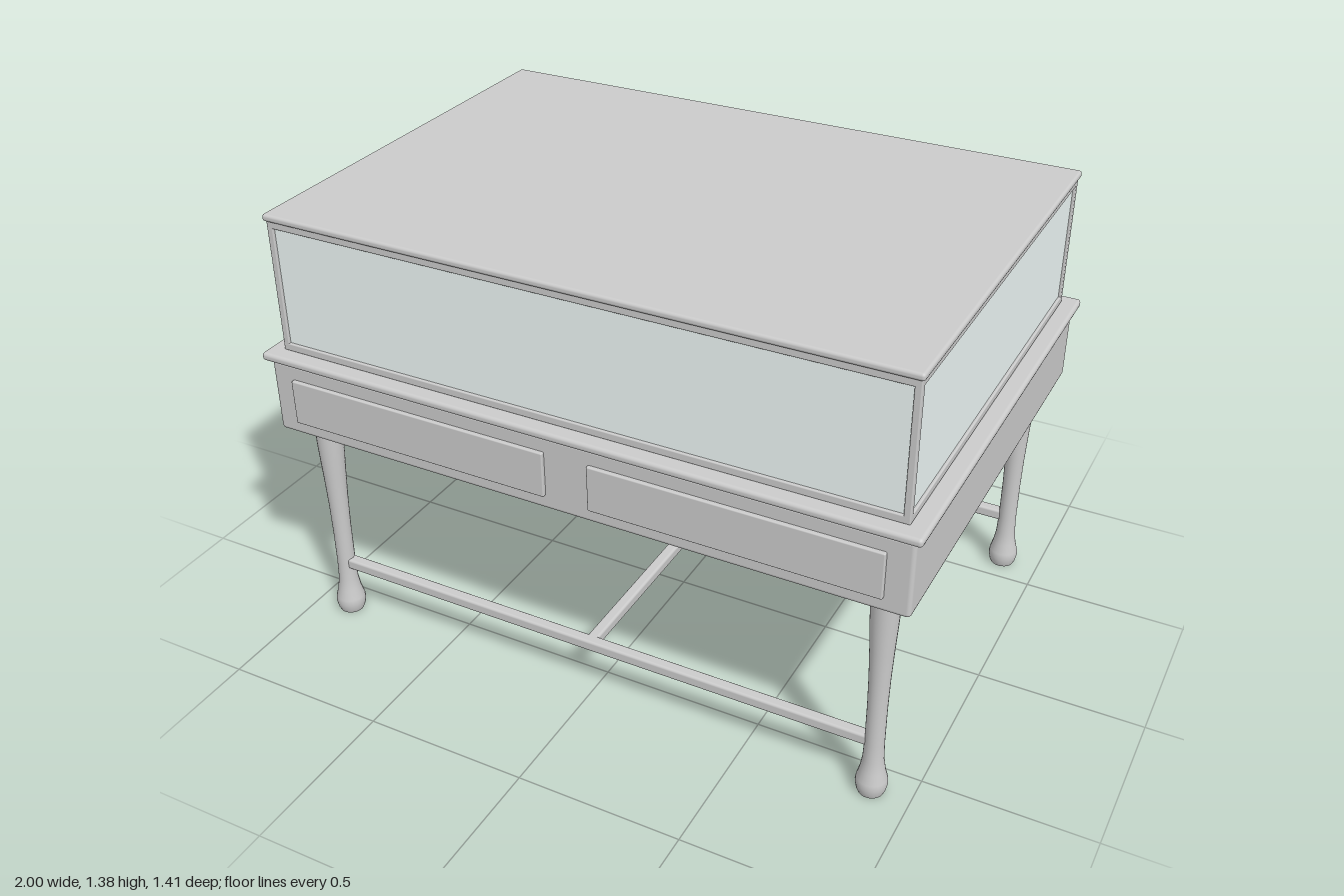
import * as THREE from 'three';
import { RoundedBoxGeometry } from 'three/addons/geometries/RoundedBoxGeometry.js';

export function createModel() {
  const model = new THREE.Group();
  const wood = new THREE.MeshStandardMaterial({ color: 0xcccccc });
  const glass = new THREE.MeshStandardMaterial({ color: 0xeef8f6 });

  const add = (name, geometry, x, y, z, material = wood) => {
    const mesh = new THREE.Mesh(geometry, material);
    mesh.name = name;
    mesh.position.set(x, y, z);
    model.add(mesh);
    return mesh;
  };
  // Box with softened edges, placed by its bottom height
  const slab = (name, w, h, d, x, y, z, r) =>
    add(name, new RoundedBoxGeometry(w, h, d, 2, r), x, y + h / 2, z);

  // Table body, ledge and lid
  slab('tableBody', 1.96, 0.232, 1.37, 0, 0.693, 0, 0.012);
  slab('tableTop', 2, 0.026, 1.406, 0, 0.925, 0, 0.011);
  slab('caseLid', 1.916, 0.022, 1.332, 0, 1.355, 0, 0.009);

  // Raised drawer fronts, two on each long side
  for (const z of [-1, 1]) {
    for (const x of [-1, 1]) {
      slab('drawerFront', 0.84, 0.14, 0.03, x * 0.488, 0.737, z * 0.682, 0.004);
    }
  }

  // Turned legs
  const profile = [
    [0, 0], [0.037, 0], [0.042, 0.012], [0.046, 0.032], [0.044, 0.05], [0.036, 0.08],
    [0.03, 0.12], [0.028, 0.18], [0.028, 0.3], [0.03, 0.4], [0.034, 0.5],
    [0.039, 0.6], [0.042, 0.7],
  ].map(([r, y]) => new THREE.Vector2(r, y));
  // A doubled corner keeps the sole flat and crisp
  profile.splice(1, 0, new THREE.Vector2(0.0365, 0));
  const legGeometry = new THREE.LatheGeometry(profile, 24);
  for (const x of [-1, 1]) {
    for (const z of [-1, 1]) add('leg', legGeometry, x * 0.885, 0, z * 0.592);
  }

  // Stretchers: two lengthwise, one joining their middles
  for (const z of [-1, 1]) {
    slab('longStretcher', 1.74, 0.035, 0.035, 0, 0.164, z * 0.592, 0.008);
  }
  slab('crossStretcher', 0.035, 0.035, 1.184, 0, 0.164, 0, 0.008);

  // Display case frame
  const halfX = 0.951, halfZ = 0.657, bar = 0.02;
  const bottom = 0.951, top = 1.357;
  for (const x of [-1, 1]) {
    for (const z of [-1, 1]) {
      slab('casePost', bar, top - bottom, bar,
        x * (halfX - bar / 2), bottom, z * (halfZ - bar / 2), 0.004);
    }
  }
  for (const y of [bottom, top - 0.024]) {
    for (const s of [-1, 1]) {
      slab('longRail', 2 * halfX, 0.024, bar, 0, y, s * (halfZ - bar / 2), 0.004);
      slab('shortRail', bar, 0.024, 2 * halfZ, s * (halfX - bar / 2), y, 0, 0.004);
    }
  }

  // Glass panes set back within the frame
  const midY = (bottom + top) / 2, paneH = top - bottom - 0.03;
  for (const s of [-1, 1]) {
    add('longPane', new THREE.BoxGeometry(2 * halfX - 0.03, paneH, 0.006),
      0, midY, s * (halfZ - 0.011), glass);
    add('shortPane', new THREE.BoxGeometry(0.006, paneH, 2 * halfZ - 0.03),
      s * (halfX - 0.011), midY, 0, glass);
  }

  return model;
}
